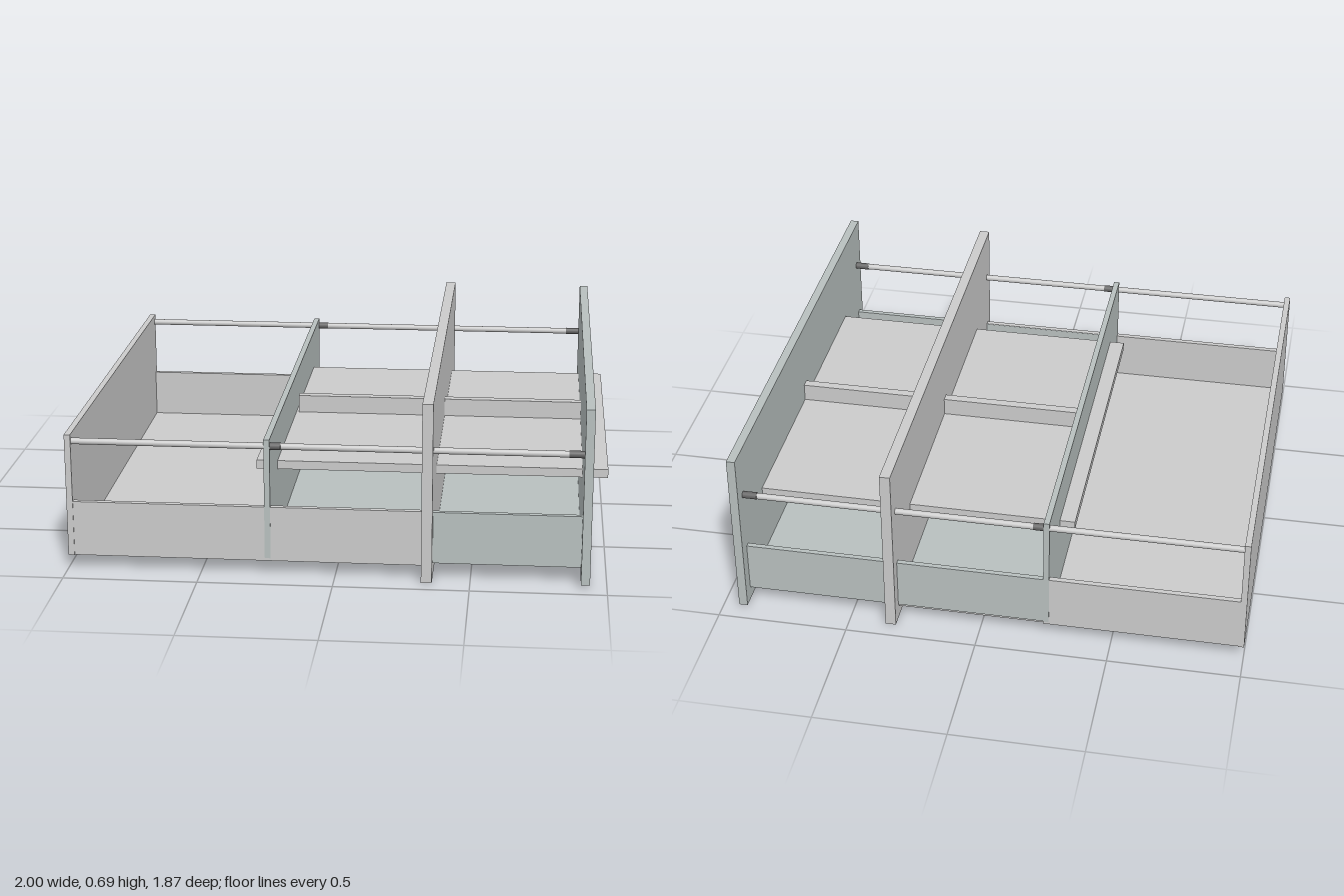
import * as THREE from 'three';

const grey = new THREE.MeshStandardMaterial({ color: 0xcccccc });
const tinted = new THREE.MeshStandardMaterial({ color: 0xb8c0bf });
const dark = new THREE.MeshStandardMaterial({ color: 0x666666 });

// Box given by its extents along each axis
function slab(name, [x0, x1], [y0, y1], [z0, z1], material = grey) {
  const mesh = new THREE.Mesh(new THREE.BoxGeometry(x1 - x0, y1 - y0, z1 - z0), material);
  mesh.position.set((x0 + x1) / 2, (y0 + y1) / 2, (z0 + z1) / 2);
  mesh.name = name;
  return mesh;
}

// Round bar running along x
function rod(name, x0, x1, y, z, radius, material = grey) {
  const geometry = new THREE.CylinderGeometry(radius, radius, x1 - x0, 20).rotateZ(Math.PI / 2);
  const mesh = new THREE.Mesh(geometry, material);
  mesh.position.set((x0 + x1) / 2, y, z);
  mesh.name = name;
  return mesh;
}

export function createModel() {
  const model = new THREE.Group();
  model.name = 'nestedDrawers';

  // Outer drawer: floor, low sides, end panel and tall front panel
  const outer = new THREE.Group();
  outer.name = 'outerDrawer';
  outer.add(
    slab('outerFloor', [-0.98, 0.33], [0.05, 0.07], [-0.88, 0.88]),
    slab('outerSide', [-0.98, 0.33], [0.05, 0.26], [0.866, 0.887]),
    slab('outerSide', [-0.98, -0.24], [0.05, 0.26], [-0.887, -0.866]),
    slab('outerEndPanel', [-1, -0.977], [0.05, 0.52], [-0.89, 0.89]),
    slab('outerFrontPanel', [0.32, 0.36], [0, 0.685], [-0.935, 0.935])
  );

  // Inner drawer, slid partly out through the outer front
  const inner = new THREE.Group();
  inner.name = 'innerDrawer';
  inner.add(
    slab('innerFloor', [-0.25, 0.91], [0.06, 0.08], [-0.88, 0.88], tinted),
    slab('innerEndPanel', [-0.262, -0.24], [0.06, 0.52], [-0.888, 0.888], tinted),
    slab('innerFrontPanel', [0.905, 0.938], [0.01, 0.68], [-0.935, 0.935], tinted),
    slab('shelf', [-0.32, 1], [0.33, 0.363], [-0.65, 0.65]),
    slab('divider', [-0.23, 0.905], [0.26, 0.432], [-0.018, 0.018])
  );
  for (const s of [-1, 1]) {
    const z = [0.865 * s, 0.885 * s].sort((a, b) => a - b);
    inner.add(slab('innerSide', [-0.25, 0.91], [0.06, 0.258], z, tinted));
  }

  // Rails above the sides, with short sleeves at the inner panels
  const rails = new THREE.Group();
  rails.name = 'rails';
  for (const z of [-0.873, 0.873]) {
    rails.add(
      rod('rail', -0.98, 0.91, 0.492, z, 0.012),
      rod('sleeve', -0.24, -0.2, 0.492, z, 0.0135, dark),
      rod('sleeve', 0.85, 0.906, 0.492, z, 0.0135, dark)
    );
  }

  model.add(outer, inner, rails);
  return model;
}
